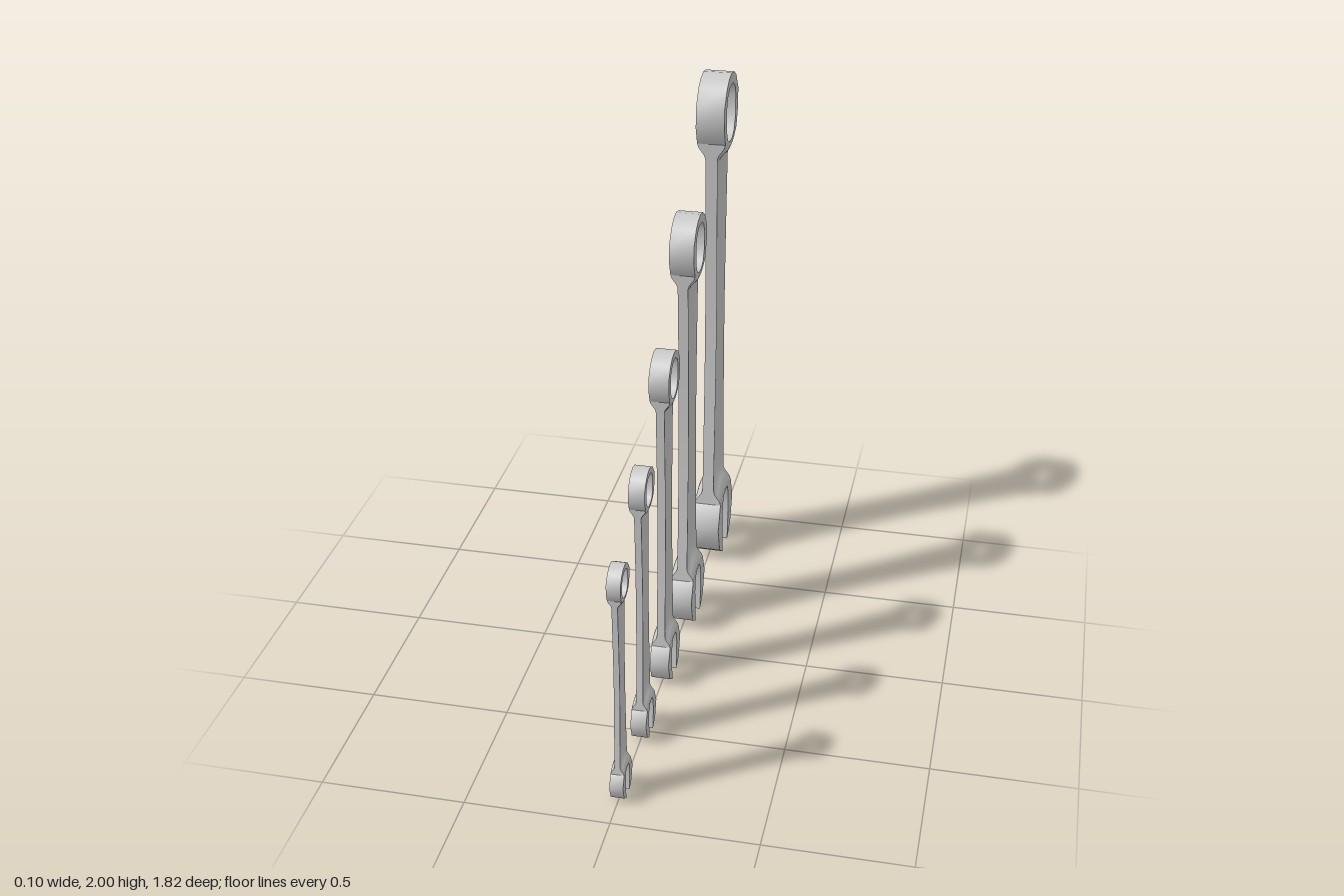
import * as THREE from 'three';
import { toCreasedNormals } from 'three/addons/utils/BufferGeometryUtils.js';

const HEAD = 0.052; // half thickness of both heads
const material = new THREE.MeshStandardMaterial({ color: 0xcccccc });

// Curved borders where the shank meets the heads, u runs -1..1 across
const jawEnd = (u) => 0.295 - 0.035 * u * u;
const ringEnd = (u) => 1.728 + 0.037 * u * u;
const shankWidth = (y) => 0.08 + 0.03 * Math.pow(Math.abs(y - 1.02) / 0.76, 1.6);

// Mirrors a half outline (x >= 0) into a closed list of points
function mirrored(half) {
  const left = half.filter((p) => p[0] > 0).reverse().map(([x, y]) => [-x, y]);
  return [...half, ...left].map(([x, y]) => new THREE.Vector2(x, y));
}

// Points along a curved border between two positions across the shank
function border(end, from, to, steps = 5) {
  return Array.from({ length: steps + 1 }, (_, i) => {
    const u = from + ((to - from) * i) / steps;
    return [u * shankWidth(end(u)), end(u)];
  });
}

function extrudeHead(shape) {
  const geo = new THREE.ExtrudeGeometry(shape, { depth: 2 * HEAD, bevelEnabled: false });
  geo.translate(0, 0, -HEAD);
  return toCreasedNormals(geo.rotateY(Math.PI / 2), 0.85);
}

// Closed end with an oval hole
function ringGeometry() {
  const outer = [[0, 2], [0.05, 1.99], [0.09, 1.966], [0.135, 1.905], [0.135, 1.83],
    ...border(ringEnd, 1, 0)];
  const hole = [[0.03, 1.955], [0.068, 1.932], [0.085, 1.895], [0.085, 1.81],
    [0.06, 1.766], [0.025, 1.748]];
  const shape = new THREE.Shape(mirrored(outer));
  shape.holes.push(new THREE.Path(mirrored(hole).reverse()));
  return extrudeHead(shape);
}

// Open end: two prongs around an arched slot
function jawGeometry() {
  const half = [...border(jawEnd, 0, 1), [0.153, 0.165], [0.115, 0.055], [0.05, 0.01],
    [0.06, 0.11], [0.063, 0.18], [0.054, 0.235], [0.035, 0.267], [0, 0.271]];
  return extrudeHead(new THREE.Shape(mirrored(half)));
}

// Waisted shank with hollowed faces, flaring in thickness into both heads
function shankGeometry() {
  const cols = 10, flare = 0.06, mid = 14;
  const ends = [0, 0.25, 0.5, 0.75].map((f) => f * flare);
  const rows = [
    ...ends.map((d) => (a) => a + d),
    ...Array.from({ length: mid + 1 }, (_, i) => (a, b) =>
      THREE.MathUtils.lerp(a + flare, b - flare, i / mid)),
    ...ends.slice().reverse().map((d) => (a, b) => b - d),
  ];
  const pos = [], index = [], ring = 2 * (cols + 1);
  rows.forEach((rowY, r) => {
    for (const side of [1, -1]) {
      for (let c = 0; c <= cols; c++) {
        const u = side * (-1 + (2 * c) / cols);
        const a = jawEnd(u), b = ringEnd(u), y = rowY(a, b);
        const blend = THREE.MathUtils.smoothstep(Math.min(y - a, b - y), 0, flare);
        const thick = THREE.MathUtils.lerp(HEAD, 0.013 + 0.009 * u * u, blend);
        pos.push(u * shankWidth(y), y, side * thick);
      }
    }
    if (r === 0) return;
    for (let c = 0; c < ring; c++) {
      const n = (c + 1) % ring, lo = (r - 1) * ring, hi = r * ring;
      index.push(lo + c, lo + n, hi + n, lo + c, hi + n, hi + c);
    }
  });
  const geo = new THREE.BufferGeometry();
  geo.setAttribute('position', new THREE.Float32BufferAttribute(pos, 3));
  geo.setIndex(index);
  return toCreasedNormals(geo.rotateY(Math.PI / 2), 0.85);
}

export function createModel() {
  const model = new THREE.Group();
  model.name = 'wrenchSet';
  const parts = { ringEnd: ringGeometry(), shank: shankGeometry(), openJaw: jawGeometry() };

  // Each wrench: z position, height scale, width scale
  const sizes = [
    [-0.753, 1, 1],
    [-0.239, 0.83, 0.835],
    [0.15, 0.66, 0.665],
    [0.505, 0.535, 0.535],
    [0.841, 0.456, 0.45],
  ];
  sizes.forEach(([z, tall, wide], i) => {
    const wrench = new THREE.Group();
    wrench.name = `wrench${i + 1}`;
    for (const [name, geo] of Object.entries(parts)) {
      const mesh = new THREE.Mesh(geo, material);
      mesh.name = name;
      wrench.add(mesh);
    }
    wrench.scale.set(wide, tall, wide);
    wrench.position.z = z;
    model.add(wrench);
  });
  return model;
}
